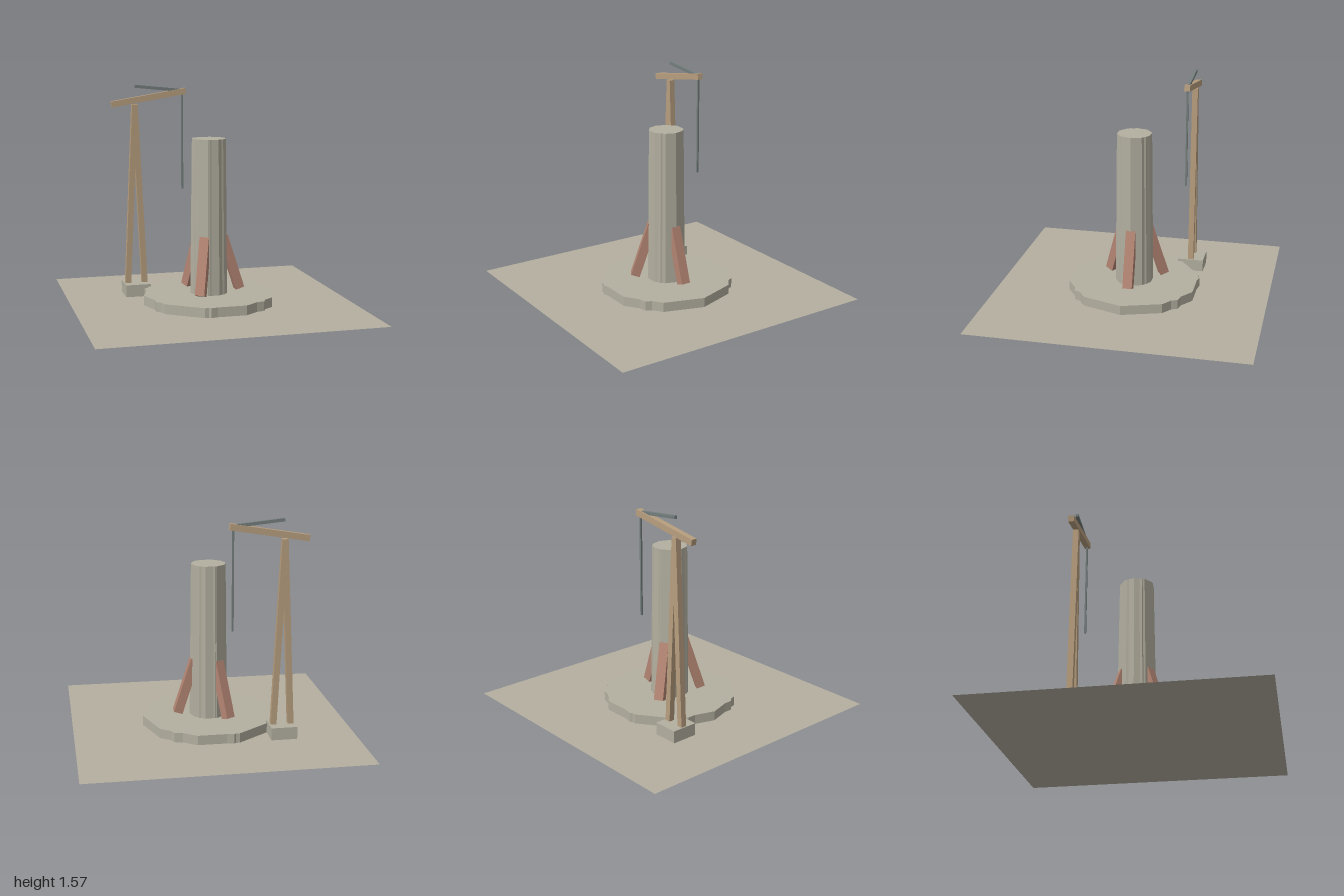
import * as THREE from 'three';

const mat = (name, color, side = THREE.FrontSide) => {
  const m = new THREE.MeshStandardMaterial({ color, side, flatShading: true });
  m.name = name;
  return m;
};

export function createModel() {
  const root = new THREE.Group();
  root.name = 'wellTower';
  const earth = mat('earth', 0xb5afa0, THREE.DoubleSide);
  const stone = mat('stone', 0xb3b0a0);
  const wood = mat('wood', 0xb89f7f);
  const redWood = mat('redWood', 0xb38573);
  const metal = mat('metal', 0x747e7c);

  const add = (name, geo, material, x, y, z, parent = root) => {
    const m = new THREE.Mesh(geo, material);
    m.name = name;
    m.position.set(x, y, z);
    parent.add(m);
    return m;
  };
  // square beam between two points in a plane of constant z
  const beam = (name, a, b, width, depth, material, z = 0, parent = root) => {
    const dx = b[0] - a[0], dy = b[1] - a[1];
    const geo = new THREE.BoxGeometry(width, Math.hypot(dx, dy), depth);
    const m = add(name, geo, material, (a[0] + b[0]) / 2, (a[1] + b[1]) / 2, z, parent);
    m.rotation.z = -Math.atan2(dx, dy);
    return m;
  };
  // many-sided column with its first corner on +x
  const column = (name, rTop, rBottom, y0, y1, sides) => {
    const geo = new THREE.CylinderGeometry(rTop, rBottom, y1 - y0, sides);
    geo.rotateY(Math.PI / 2);
    return add(name, geo, stone, 0, (y0 + y1) / 2, 0);
  };

  // ground sheet
  add('ground', new THREE.PlaneGeometry(2, 2).rotateX(-Math.PI / 2), earth, 0, 0, 0);

  // irregular plinth and tower, each two overlapping prisms
  for (const sides of [10, 7]) {
    column('plinth', 0.487, 0.487, 0, 0.07, sides);
    column('tower', 0.126, 0.14, 0.06, 1.2, sides);
  }

  // three leaning braces around the tower
  for (let i = 0; i < 3; i++) {
    const brace = new THREE.Group();
    brace.name = 'braceArm';
    brace.rotation.y = (i * Math.PI * 2) / 3;
    beam('brace', [0.229, 0.09], [0.1, 0.49], 0.066, 0.07, redWood, 0, brace);
    root.add(brace);
  }

  // hoist: footing, splayed legs, swing beam, lever and rod
  const hx = -0.473, hz = -0.36;
  add('footing', new THREE.BoxGeometry(0.187, 0.09, 0.195), stone, hx, 0.045, hz);
  for (const s of [-1, 1]) {
    beam('hoistLeg', [hx + s * 0.063, 0.085], [hx, 1.43], 0.042, 0.042, wood, hz);
  }
  beam('swingBeam', [-0.645, 1.432], [-0.088, 1.525], 0.044, 0.042, wood, hz);
  beam('lever', [-0.47, 1.563], [-0.11, 1.527], 0.022, 0.022, metal, hz);
  beam('hangingRod', [-0.112, 0.79], [-0.112, 1.515], 0.013, 0.013, metal, hz);

  return root;
}
